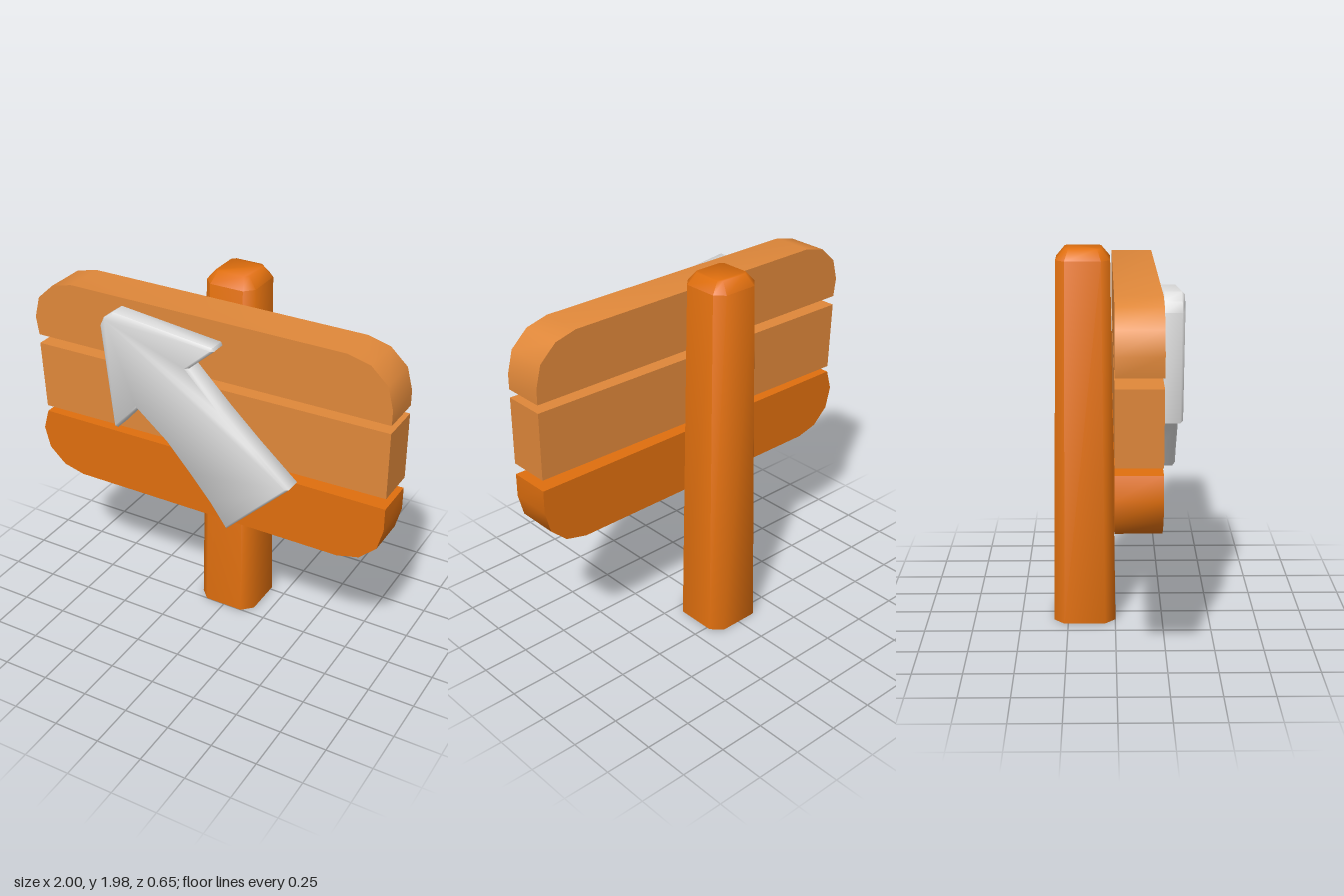
import * as THREE from 'three';
import { toCreasedNormals } from 'three/addons/utils/BufferGeometryUtils.js';

const outline = (points) => new THREE.Shape(points.map(([x, y]) => new THREE.Vector2(x, y)));

// Square section with cut corners: half width h, corner cut c
function octagon(h, c) {
  const i = h - c;
  return [[h, -i], [h, i], [i, h], [-i, h], [-h, i], [-h, -i], [-i, -h], [i, -h]];
}

// Tapered post from stacked sections, closed on top and open underneath
function postGeometry(rings) {
  const positions = [], index = [], n = 8;
  for (const [y, h, c] of rings) {
    for (const [x, z] of octagon(h, c)) positions.push(x, y, z);
  }
  for (let r = 0; r < rings.length - 1; r++) {
    for (let i = 0; i < n; i++) {
      const a = r * n + i, b = r * n + (i + 1) % n;
      index.push(a, a + n, b, b, a + n, b + n);
    }
  }
  const top = (rings.length - 1) * n;
  for (let i = 1; i < n - 1; i++) index.push(top, top + i + 1, top + i);
  const geometry = new THREE.BufferGeometry();
  geometry.setAttribute('position', new THREE.Float32BufferAttribute(positions, 3));
  geometry.setIndex(index);
  return toCreasedNormals(geometry, 0.95);
}

export function createModel() {
  const group = new THREE.Group();
  const material = (name, color) => {
    const m = new THREE.MeshStandardMaterial({ color });
    m.name = name;
    return m;
  };
  const darkWood = material('darkWood', 0xe06f0e);
  const lightWood = material('lightWood', 0xe0883a);
  const metal = material('paleGrey', 0xdedede);
  darkWood.side = THREE.DoubleSide;

  const add = (name, geometry, mat, z) => {
    const mesh = new THREE.Mesh(geometry, mat);
    mesh.name = name;
    mesh.position.z = z;
    group.add(mesh);
  };

  // Post behind the boards
  add('post', postGeometry([[0, 0.163, 0.055], [1.92, 0.137, 0.046], [1.975, 0.092, 0.02]]), darkWood, -0.162);

  // Three uneven boards; the outer two have rounded corners
  const corner = [[1, 0.115], [0.97, 0.23], [0.88, 0.313], [0.762, 0.343]];
  const roundedEdge = [...corner, ...corner.map(([x, y]) => [-x, y]).reverse()];
  const boards = [
    ['topBoard', lightWood, [[-0.985, 1.53], [1, 1.548], ...roundedEdge.map(([x, y]) => [x, 1.513 + y])]],
    ['middleBoard', lightWood, [[-0.968, 1.112], [1, 1.15], [1, 1.505], [-0.985, 1.48]]],
    ['bottomBoard', darkWood, [[-0.968, 1.078], [1, 1.09], ...roundedEdge.map(([x, y]) => [x, 1.083 - y])]],
  ];
  for (const [name, mat, points] of boards) {
    const geometry = new THREE.ExtrudeGeometry(outline(points), { depth: 0.222, bevelEnabled: false });
    add(name, toCreasedNormals(geometry, 0.7), mat, -0.012);
  }

  // Curved arrow plate with softened edges
  const arrow = outline([
    [-0.52, 1.735], [-0.497, 1.785], [-0.445, 1.823], [0.115, 1.765], [0.123, 1.748],
    [-0.016, 1.625], [0.17, 1.44], [0.33, 1.292], [0.54, 1.11],
    [0.192, 0.768], [0.1, 0.895], [-0.015, 1.03], [-0.15, 1.18],
    [-0.32, 1.32], [-0.443, 1.18], [-0.462, 1.183],
  ]);
  const arrowGeometry = new THREE.ExtrudeGeometry(arrow, {
    depth: 0.084, bevelThickness: 0.013, bevelSize: 0.013, bevelOffset: -0.013, bevelSegments: 1,
  });
  add('arrow', toCreasedNormals(arrowGeometry, 0.85), metal, 0.228);

  return group;
}
